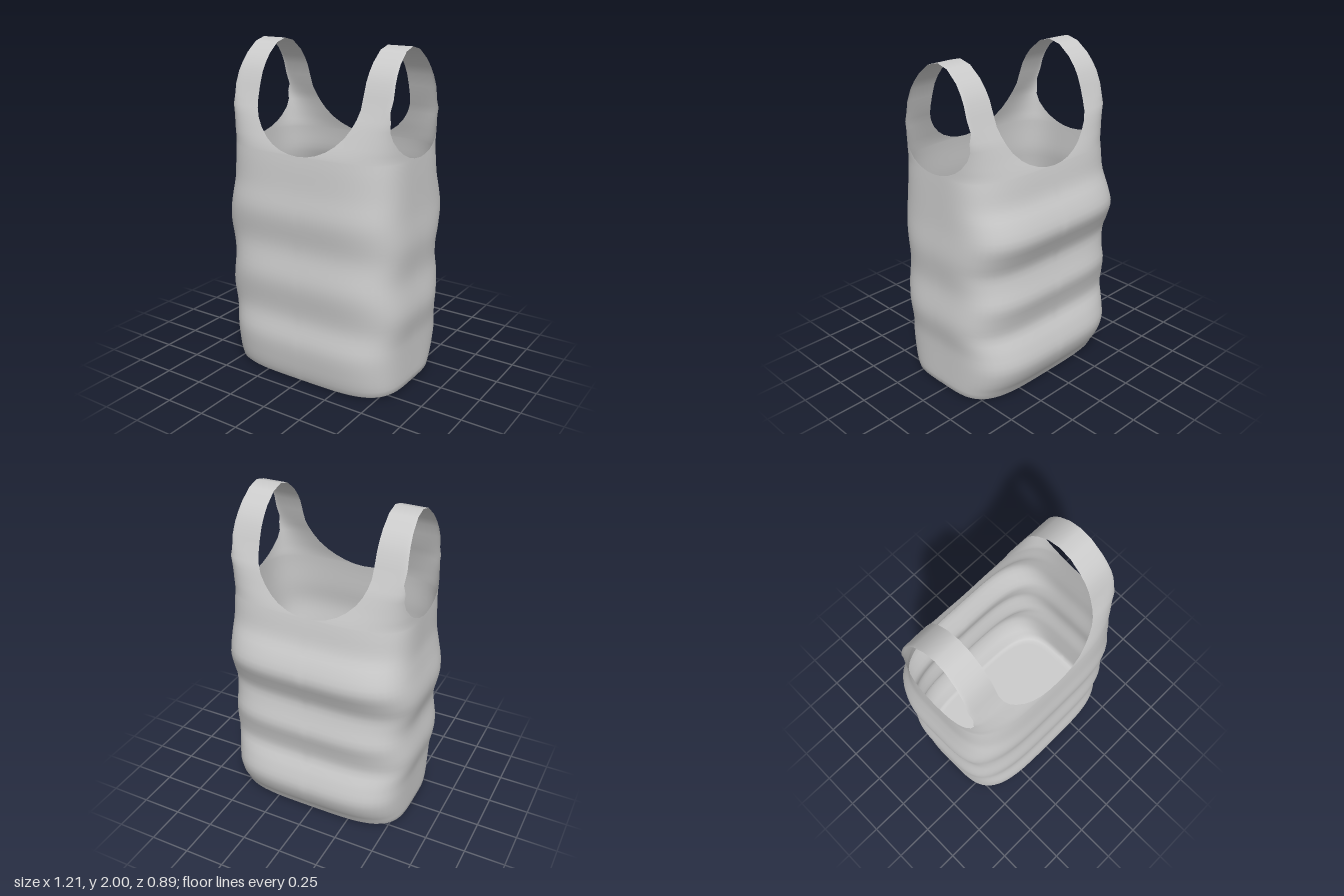
import * as THREE from 'three';
import { mergeVertices } from 'three/addons/utils/BufferGeometryUtils.js';

// Profiles as [height, value] pairs
const FRONT = [[0, .40], [.03, .412], [.1, .43], [.25, .447], [.42, .422], [.64, .445], [.85, .42], [1.05, .44],
  [1.2, .422], [1.4, .403], [1.53, .36], [1.6, .335], [1.68, .30], [1.82, .252], [1.92, .182], [1.98, .107], [2, .03]];
const BACK = [[0, .33], [.05, .35], [.12, .397], [.24, .435], [.35, .41], [.46, .37], [.55, .385], [.65, .407],
  [.75, .385], [.84, .37], [.93, .40], [1.05, .443], [1.15, .415], [1.25, .37], [1.4, .343], [1.53, .30],
  [1.6, .28], [1.68, .245], [1.82, .195], [1.92, .125], [1.98, .048], [2, -.03]];
const LEFT = [[0, .56], [.03, .575], [.3, .58], [.5, .605], [.72, .583], [.92, .596], [1.1, .585], [1.4, .575], [2, .517]];
const RIGHT = [[0, .55], [.03, .56], [.3, .57], [.5, .60], [.7, .573], [.92, .61], [1.1, .58], [1.22, .563], [1.4, .56], [2, .505]];
// Squareness of the section: soft corners below, flat straps above
const SQUARE = [[0, 4], [1.4, 4], [1.53, 6], [1.6, 9], [1.68, 25], [1.82, 60], [2, 60]];
const CX = 0.007, CZ = 0.03;

// Smooth interpolation through a profile
function sample(table, y) {
  let k = 0;
  while (k < table.length - 2 && y > table[k + 1][0]) k++;
  const slope = (a, b) => (table[b][1] - table[a][1]) / (table[b][0] - table[a][0]);
  const tangent = (i) => {
    if (i === 0 || i === table.length - 1) return slope(k, k + 1);
    const a = slope(i - 1, i), b = slope(i, i + 1);
    return a * b <= 0 ? 0 : 2 * a * b / (a + b);
  };
  const [y0, v0] = table[k], [y1, v1] = table[k + 1];
  const h = y1 - y0, t = (y - y0) / h, s = 1 - t;
  return v0 * (1 + 2 * t) * s * s + v1 * (3 - 2 * t) * t * t + h * (tangent(k) * t * s * s - tangent(k + 1) * t * t * s);
}

// Half width of a U-shaped opening that starts at y = 1.4
function opening(y, halfWidth, depth) {
  if (y <= 1.4) return 0;
  const d = Math.max(0, 1 - (y - 1.4) / depth);
  return halfWidth * Math.sqrt(1 - d * d);
}

// Rows as [height, scale towards the middle]
const rows = [[0, 0], [0, .5], [0, .92], [0, .965], [.006, .985], [.018, 1]];
for (let i = 1; i <= 39; i++) rows.push([.018 + i * (1.4 - .018) / 39, 1]);
rows[rows.length - 1][0] = 1.4;
for (const y of [1.405, 1.42, 1.447, 1.48, 1.53, 1.58, 1.63, 1.68, 1.75, 1.82, 1.87, 1.92, 1.98, 2]) rows.push([y, 1]);

// One quarter, from the middle of the front (or back) round a corner to the middle of a side
const COLS = 22;
function addQuarter(sx, sz, positions, indices) {
  const base = positions.length / 3;
  for (const [y, scale] of rows) {
    const hx = sample(sx > 0 ? LEFT : RIGHT, y) - sx * CX;
    const hz = Math.max(0, sample(sz > 0 ? FRONT : BACK, y) - sz * CZ);
    const n = sample(SQUARE, y);
    const other = (u) => Math.pow(1 - Math.pow(u, n), 1 / n);
    const u = opening(y, .35, .32) / hx;
    const w = hz > 1e-6 ? Math.min(.98, opening(y, .27, .2) / hz) : .98;
    const start = Math.atan2(other(u), u), end = Math.atan2(w, other(w));
    for (let j = 0; j <= COLS; j++) {
      const a = start + (end - start) * j / COLS;
      const c = Math.abs(Math.cos(a)), s = Math.abs(Math.sin(a));
      const r = scale * Math.pow(Math.pow(c, n) + Math.pow(s, n), -1 / n);
      positions.push(CX + sx * hx * r * c, y, CZ + sz * hz * r * s);
    }
  }
  for (let i = 0; i < rows.length - 1; i++) {
    for (let j = 0; j < COLS; j++) {
      const a = base + i * (COLS + 1) + j, b = a + 1, d = a + COLS + 1, c = d + 1;
      if (sx * sz > 0) indices.push(a, b, c, a, c, d);
      else indices.push(a, c, b, a, d, c);
    }
  }
}

export function createModel() {
  const group = new THREE.Group();
  group.name = 'carrierBag';

  // Bag skin: base, wavy walls and the two loop handles in one thin sheet
  const positions = [], indices = [];
  for (const sx of [1, -1]) for (const sz of [1, -1]) addQuarter(sx, sz, positions, indices);
  let geometry = new THREE.BufferGeometry();
  geometry.setAttribute('position', new THREE.Float32BufferAttribute(positions, 3));
  geometry.setIndex(indices);
  geometry = mergeVertices(geometry, 1e-4);
  geometry.computeVertexNormals();

  const material = new THREE.MeshStandardMaterial({ color: 0xcccccc, side: THREE.DoubleSide });
  const bag = new THREE.Mesh(geometry, material);
  bag.name = 'bagWithHandles';
  group.add(bag);
  return group;
}
